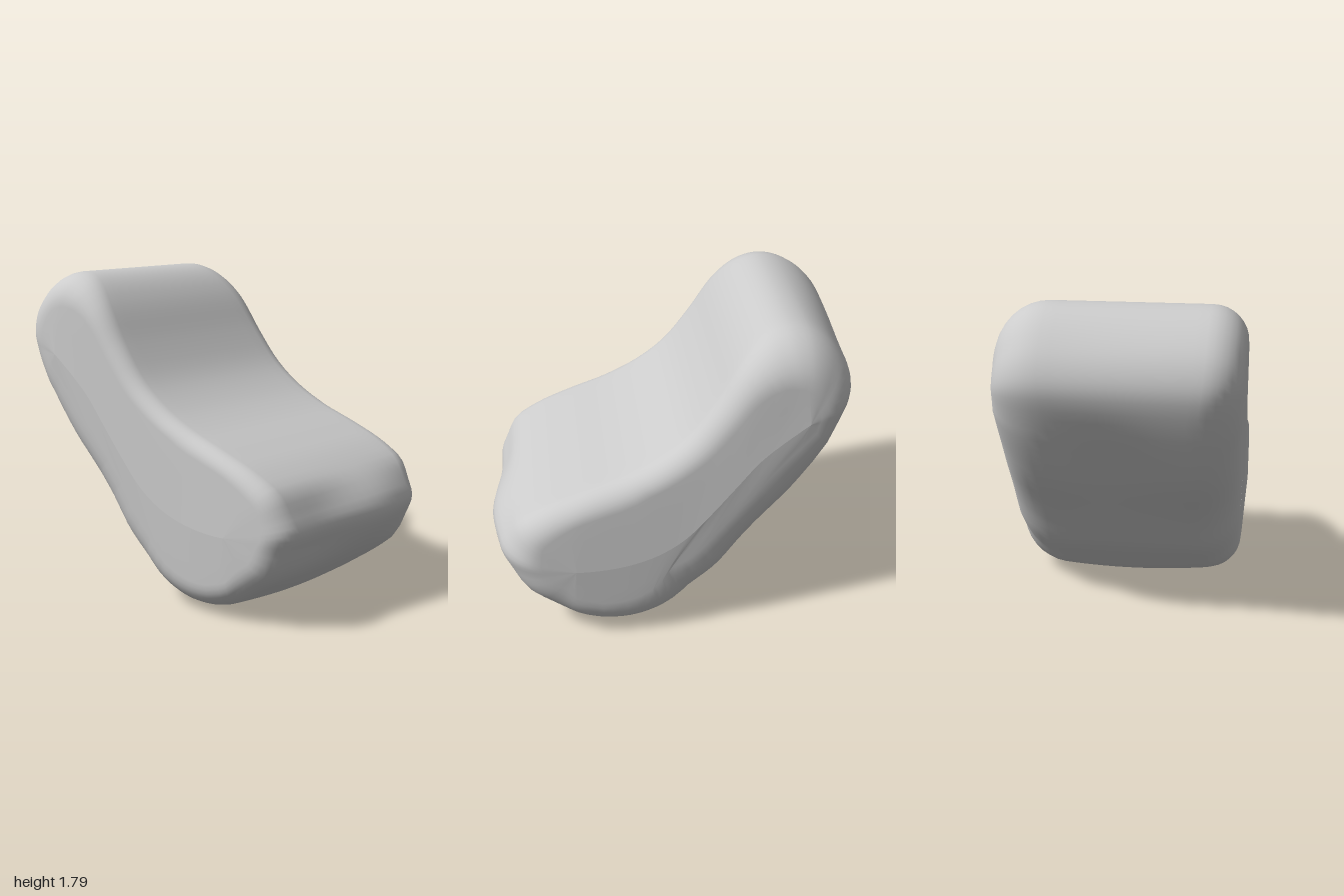
import * as THREE from 'three';

// Side outline as [z, y, edge radius], from the front lip over the top and round the back
const OUTLINE = [
  [1.0, 0.56, 0.2], [0.9, 0.71, 0.17], [0.72, 0.83, 0.14], [0.5, 0.92, 0.13], [0.28, 1.0, 0.13],
  [0.1, 1.09, 0.13], [-0.07, 1.22, 0.13], [-0.22, 1.41, 0.14], [-0.35, 1.61, 0.17], [-0.45, 1.72, 0.22],
  [-0.54, 1.775, 0.26], [-0.63, 1.79, 0.27], [-0.74, 1.765, 0.27], [-0.86, 1.69, 0.27], [-0.96, 1.57, 0.27],
  [-1.0, 1.43, 0.28], [-0.97, 1.28, 0.3], [-0.84, 1.0, 0.34], [-0.72, 0.82, 0.36], [-0.52, 0.61, 0.37],
  [-0.42, 0.49, 0.37], [-0.3, 0.33, 0.36], [-0.15, 0.19, 0.33], [-0.02, 0.08, 0.28], [0.1, 0.025, 0.25],
  [0.28, 0, 0.22], [0.5, 0.04, 0.2], [0.7, 0.17, 0.2], [0.93, 0.4, 0.2],
];
const HALF = 0.65;
const AROUND = 116;
const { clamp, lerp, smoothstep } = THREE.MathUtils;

// Stations across the width: position on the edge arc (angle), on the flat middle, or on the closing side
function makeStations() {
  const side = (sign) => {
    const list = [];
    for (let k = 0; k <= 8; k++) list.push({ sign, angle: (k / 8) * Math.PI / 2, close: 0 });
    for (const close of [0.35, 0.7, 1]) list.push({ sign, angle: Math.PI / 2, close });
    return list;
  };
  const middle = [];
  for (let k = 1; k < 14; k++) middle.push({ across: k / 14, angle: 0, close: 0 });
  return [...side(-1).reverse(), ...middle, ...side(1)];
}

// How far the surface sinks below the outline: bowed lip, crowned underside, slanted top, hollow back
function sink(p, x, isBack) {
  const lip = 0.06 * smoothstep(Math.abs(x - 0.15), 0, 0.5) * smoothstep(p.z, 0.82, 1);
  const under = 0.12 * Math.min(0.25, x * x) * (1 - smoothstep(p.y, 0.02, 0.3));
  const top = 0.03 * smoothstep(x, -0.4, 0.45) * (1 - smoothstep(p.z, -1, -0.7));
  const hollow = isBack ? 0.05 * Math.exp(-(((p.y - 0.92) / 0.25) ** 2) - ((x - 0.08) / 0.36) ** 2) : 0;
  return lip + under + top + hollow;
}

function cushionGeometry() {
  const control = OUTLINE.map(([z, y, r]) => new THREE.Vector3(r, y, z));
  const samples = new THREE.CatmullRomCurve3(control, true).getPoints(AROUND).slice(0, AROUND);
  const radii = samples.map((s) => s.x);
  const outline = samples.map((s) => new THREE.Vector3(0, s.y, s.z));

  // Middle line: halfway between the facing upper and lower points, shared by both
  const cores = outline.map((_, j) => {
    const k = clamp(Math.min(j, AROUND - j), 11, 45);
    return outline[k].clone().lerp(outline[AROUND - k], 0.5);
  });
  const nearest = outline.map((p) => cores.reduce((a, b) => (p.distanceTo(b) < p.distanceTo(a) ? b : a)));

  const stations = makeStations();
  const positions = [];
  const index = [];
  stations.forEach(({ sign, across, angle, close }, i) => {
    outline.forEach((p, j) => {
      const d = p.distanceTo(nearest[j]);
      const right = radii[j];
      const left = right * 0.72;
      const r = sign > 0 ? right : left;
      const x = sign
        ? sign * (HALF - r * (1 - Math.sin(angle)) + 0.012 * close)
        : lerp(left - HALF, HALF - right, across);
      const isBack = j > AROUND * 0.5 && p.z < 0;
      const inset = Math.min(r, 0.7 * d) * (1 - Math.cos(angle)) + sink(p, x, isBack);
      const q = p.clone().lerp(nearest[j], Math.min(0.85, inset / d));
      q.lerp(cores[j], close);
      // The body leans a little sideways as it rises
      positions.push(x - 0.035 * (q.y - 0.9), q.y, q.z);
      if (i < stations.length - 1) {
        const a = i * AROUND + j;
        const b = i * AROUND + (j + 1) % AROUND;
        index.push(a, a + AROUND, b, b, a + AROUND, b + AROUND);
      }
    });
  });

  const geometry = new THREE.BufferGeometry();
  geometry.setAttribute('position', new THREE.Float32BufferAttribute(positions, 3));
  geometry.setIndex(index);
  geometry.computeVertexNormals();
  return geometry;
}

export function createModel() {
  const group = new THREE.Group();
  const cushion = new THREE.Mesh(cushionGeometry(), new THREE.MeshStandardMaterial({ color: 0xcccccc }));
  cushion.name = 'cushionBody';
  group.add(cushion);
  return group;
}
